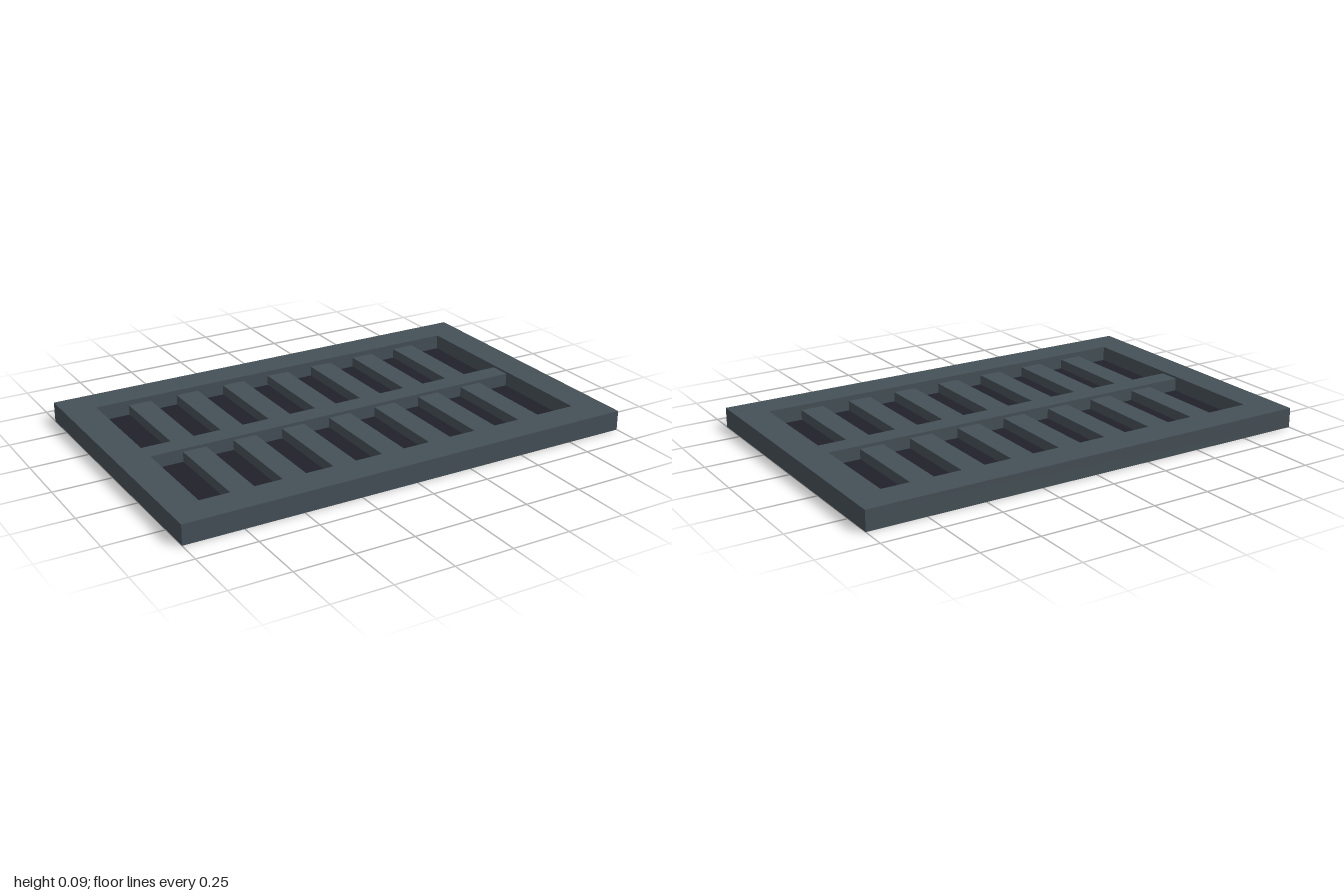
import * as THREE from 'three';

export function createModel() {
  const root = new THREE.Group();
  root.name = 'ventGrate';
  const metal = new THREE.MeshStandardMaterial({ color: 0x455057 });
  metal.name = 'slate grey metal';
  const dark = new THREE.MeshStandardMaterial({ color: 0x21212b });
  dark.name = 'dark recess';

  const W = 1, D = 0.64, H = 0.085; // outer half width, half depth, height
  const w = 0.865, d = 0.5; // opening half width, half depth

  const rect = (path, x, z) =>
    path.moveTo(-x, -z).lineTo(x, -z).lineTo(x, z).lineTo(-x, z).closePath();

  // Box standing on a given height
  const box = (name, sx, y0, y1, sz, material, x = 0) => {
    const mesh = new THREE.Mesh(new THREE.BoxGeometry(sx, y1 - y0, sz), material);
    mesh.position.set(x, (y0 + y1) / 2, 0);
    mesh.name = name;
    root.add(mesh);
  };

  // Outer frame with its rectangular opening
  const outline = rect(new THREE.Shape(), W, D);
  outline.holes.push(rect(new THREE.Path(), w, d));
  const frameGeometry = new THREE.ExtrudeGeometry(outline, { depth: H, bevelEnabled: false });
  frameGeometry.rotateX(-Math.PI / 2);
  const frame = new THREE.Mesh(frameGeometry, metal);
  frame.name = 'frame';
  root.add(frame);

  // Dark floor closing the opening
  box('backPlate', 2 * w, 0, 0.02, 2 * d, dark);

  // Slats running front to back, below the rim
  const slats = 7;
  for (let i = 0; i < slats; i++) {
    box('slat', 0.102, 0.01, 0.063, 2 * d, metal, (i - (slats - 1) / 2) * 0.2225);
  }

  // Long crossbar over the slats
  box('crossbar', 2 * w, 0.01, 0.076, 0.092, metal);

  return root;
}
